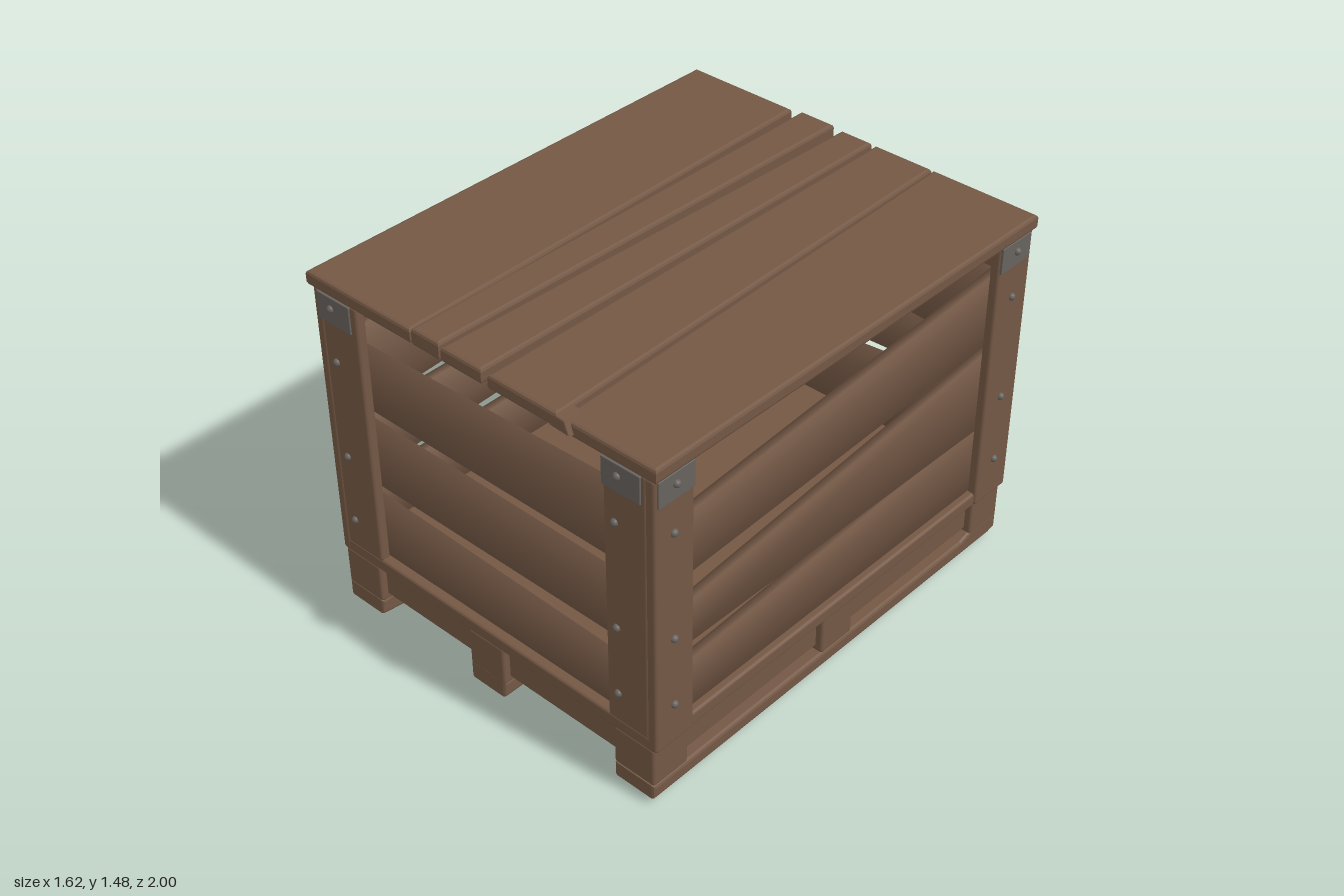
import * as THREE from 'three';
import { RoundedBoxGeometry } from 'three/addons/geometries/RoundedBoxGeometry.js';

export function createModel() {
  const wood = new THREE.MeshStandardMaterial({ color: 0x745845 });
  wood.name = 'brownWood';
  const metal = new THREE.MeshStandardMaterial({ color: 0x67625e });
  metal.name = 'greyMetal';
  const model = new THREE.Group();
  model.name = 'palletCrate';

  const add = (parent, name, geometry, material = wood) => {
    const mesh = new THREE.Mesh(geometry, material);
    mesh.name = name;
    parent.add(mesh);
    return mesh;
  };
  const group = (name) => {
    const g = new THREE.Group();
    g.name = name;
    model.add(g);
    return g;
  };
  // Rounded block between two corners
  const block = (parent, name, x0, x1, y0, y1, z0, z1, r = 0.012, material = wood) => {
    const mesh = add(parent, name, new RoundedBoxGeometry(x1 - x0, y1 - y0, z1 - z0, 2, r), material);
    mesh.position.set((x0 + x1) / 2, (y0 + y1) / 2, (z0 + z1) / 2);
    return mesh;
  };
  // Bevelled extrusion of an outline
  const extrude = (points, depth, b = 0.012) => {
    const shape = new THREE.Shape(points.map(([x, y]) => new THREE.Vector2(x, y)));
    const g = new THREE.ExtrudeGeometry(shape, {
      depth: depth - 2 * b, bevelSize: b, bevelThickness: b, bevelOffset: -b, bevelSegments: 2,
    });
    return g.translate(0, 0, b);
  };

  // Pallet: runners, nine blocks, beams and deck
  const pallet = group('pallet');
  const columns = [[-0.78, -0.595], [-0.12, 0.055], [0.59, 0.775]];
  const rows = [[-0.97, -0.8], [-0.08, 0.09], [0.8, 0.97]];
  const runnerProfiles = [
    [[0.97, 0.03], [0.97, 0.095], [0.8, 0.11], [0, 0.1], [-0.97, 0.11], [-0.97, 0.03], [0, 0.03], [0.74, 0]],
    [[0.97, 0.03], [0.97, 0.1], [0, 0.1], [-0.97, 0.1], [-0.97, 0.03]],
    [[0.97, 0.03], [0.97, 0.09], [0, 0.09], [-0.75, 0.09], [-0.82, 0.11], [-0.97, 0.11], [-0.97, 0.04], [-0.93, 0.03]],
  ];
  columns.forEach(([x0, x1], i) => {
    // Profile is drawn in z and y, then turned so its depth runs along x
    const points = runnerProfiles[i].map(([z, y]) => [-z, y]);
    const runner = add(pallet, 'runner', extrude(points, x1 - x0));
    runner.rotation.y = Math.PI / 2;
    runner.position.x = x0;
    rows.forEach(([z0, z1]) => block(pallet, 'palletBlock', x0, x1, 0.09, 0.26, z0, z1));
    block(pallet, 'lengthwiseBeam', x0 + 0.03, x1 - 0.03, 0.115, 0.255, -0.85, 0.85, 0.005);
  });
  rows.forEach(([z0, z1]) =>
    block(pallet, 'crossBeam', -0.65, 0.65, 0.115, 0.255, z0 + 0.03, z1 - 0.03, 0.005));
  block(pallet, 'deck', -0.788, 0.782, 0.25, 0.308, -0.97, 0.97);

  // Corner posts of two boards each, with brackets and rivets
  const posts = group('cornerPosts');
  const rivet = (x, y, z) => {
    const m = add(posts, 'rivet', new THREE.SphereGeometry(0.015, 12, 8), metal);
    m.position.set(x, y, z);
    return m;
  };
  for (const sx of [-1, 1]) {
    for (const sz of [-1, 1]) {
      const span = (a, b, s) => (s > 0 ? [a, b] : [-b, -a]);
      const face = sz > 0 ? 0.972 : 0.98;
      block(posts, 'endPostBoard', ...span(0.57, 0.755, sx), 0.3, 1.405, ...span(0.93, face, sz));
      block(posts, 'sidePostBoard', ...span(0.748, 0.79, sx), 0.255, 1.405, ...span(0.79, face, sz));
      const inner = sx > 0 ? 0.57 : 0.6;
      block(posts, 'endBracket', ...span(inner, inner + 0.165, sx), 1.29, 1.4,
        ...span(face - 0.01, face + 0.006, sz), 0.003, metal);
      block(posts, 'sideBracket', ...span(0.78, 0.797, sx), 1.295, 1.4,
        ...span(0.795, 0.96, sz), 0.003, metal);
      const rx = sx > 0 ? 0.62 : -0.7;
      for (const y of [0.43, 0.72, sx > 0 ? 1.16 : 1.13]) {
        rivet(rx, y, sz * face);
        rivet(sx * 0.79, y, sz * 0.885);
      }
      rivet(sx > 0 ? 0.64 : -0.695, 1.355, sz * (face + 0.005));
      rivet(sx * 0.797, 1.355, sz * 0.88);
    }
  }

  // Tapered slat: heights are bottom and top at u = -half and u = +half;
  // normals lean over the long edges for a soft, worn look
  const slatGeometry = (half, length, [b0, t0, b1, t1], thickness) => {
    const g = new THREE.BoxGeometry(2 * length, 1, thickness);
    const p = g.attributes.position, n = g.attributes.normal;
    for (let i = 0; i < p.count; i++) {
      const k = (p.getX(i) / half + 1) / 2;
      const upper = p.getY(i) > 0;
      const y = upper ? t0 + (t1 - t0) * k : b0 + (b1 - b0) * k;
      p.setY(i, y);
      if (Math.abs(n.getX(i)) < 0.5) n.setXYZ(i, 0, upper ? 0.45 : -0.45, Math.sign(p.getZ(i)) * 0.89);
    }
    return g;
  };

  // Slats of the four walls
  const walls = [
    ['frontSlat', 'z', 0.915, [[0.31, 0.555, 0.31, 0.52], [0.63, 0.89, 0.63, 0.88], [0.96, 1.21, 0.96, 1.25]]],
    ['backSlat', 'z', -0.915, [[0.31, 0.55, 0.31, 0.66], [0.64, 0.88, 0.69, 0.87], [0.965, 1.2, 0.87, 1.21]]],
    ['leftSlat', 'x', 0.735, [[0.31, 0.61, 0.31, 0.52], [0.59, 0.93, 0.6, 0.78], [0.97, 1.265, 0.9, 1.15]]],
    ['rightSlat', 'x', -0.735, [[0.31, 0.55, 0.31, 0.53], [0.64, 0.84, 0.575, 0.825], [0.95, 1.19, 0.86, 1.21]]],
  ];
  for (const [name, axis, offset, slats] of walls) {
    const wall = group(name + 's');
    for (const heights of slats) {
      const side = axis === 'x';
      const mesh = add(wall, name, slatGeometry(side ? 0.79 : 0.57, side ? 0.92 : 0.72, heights, 0.035));
      mesh.position[axis] = offset;
      if (side) mesh.rotation.y = -Math.PI / 2;
    }
  }

  // Lid planks: left and right x at the back, then at the front, with bottom and top
  const lid = group('lid');
  const planks = [
    [-0.81, -0.325, -0.81, -0.288, 1.403, 1.46],
    [-0.275, -0.12, -0.28, -0.15, 1.402, 1.47],
    [-0.08, 0.06, -0.14, 0.047, 1.403, 1.462],
    [0.08, 0.335, 0.078, 0.385, 1.403, 1.46],
    [0.345, 0.803, 0.405, 0.803, 1.403, 1.46],
  ];
  for (const [b0, b1, f0, f1, low, high] of planks) {
    const plank = add(lid, 'lidPlank',
      extrude([[f0, -0.978], [f1, -0.978], [b1, 0.983], [b0, 0.983]], high - low));
    plank.rotation.x = -Math.PI / 2;
    plank.position.y = low;
  }
  // Raised splinter on the front edge
  const splinter = add(lid, 'splinter',
    extrude([[0.37, 1.425], [0.46, 1.42], [0.44, 1.472], [0.4, 1.475]], 0.08, 0.006));
  splinter.position.z = 0.918;

  return model;
}
